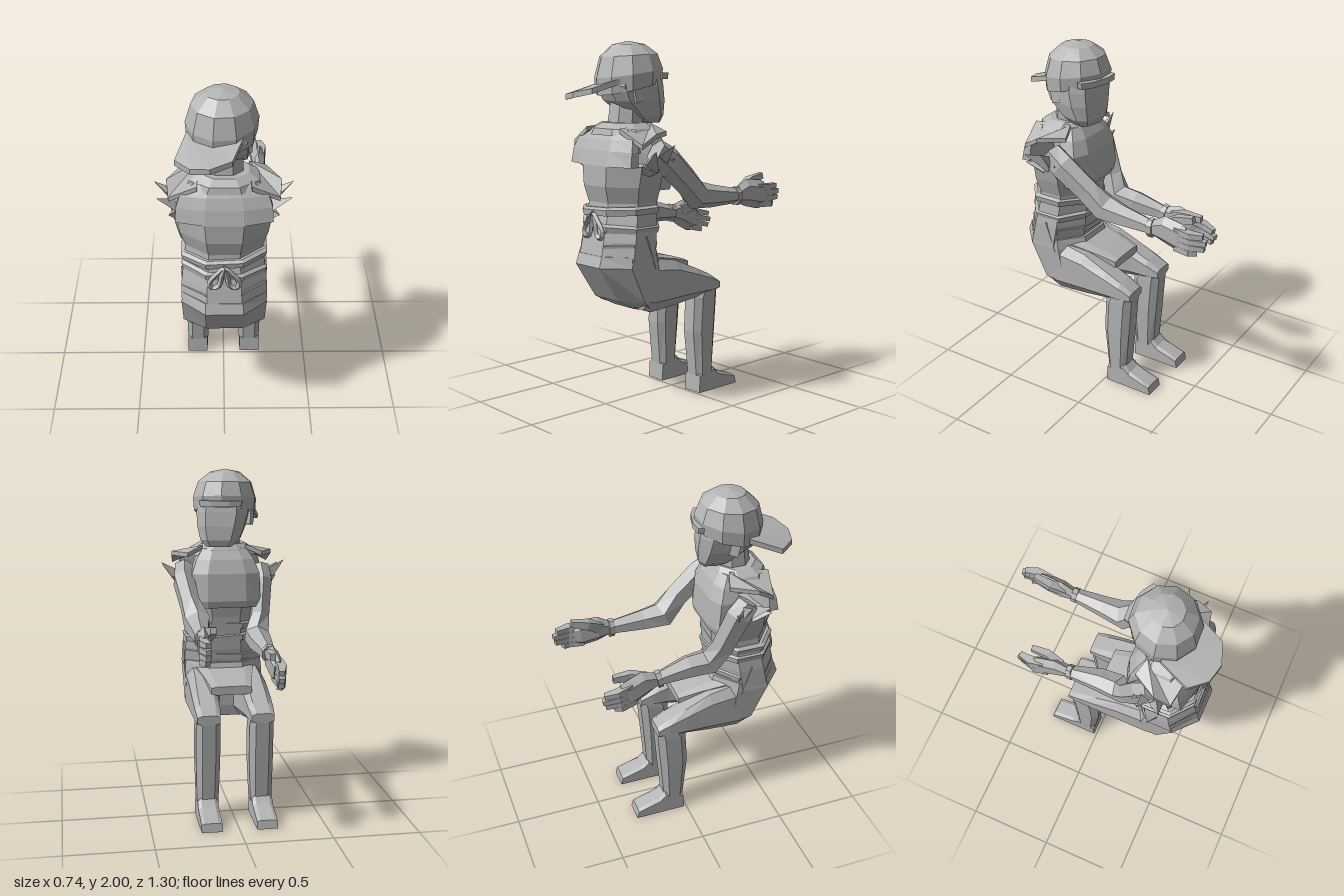
import * as THREE from 'three';

const V = (x, y, z) => new THREE.Vector3(x, y, z);
const grey = new THREE.MeshStandardMaterial({ color: 0xb4b4b4, flatShading: true, side: THREE.DoubleSide });
grey.name = 'plain grey';

function add(parent, name, geometry) {
  const mesh = new THREE.Mesh(geometry, grey);
  mesh.name = name;
  parent.add(mesh);
  return mesh;
}

// Closed solid through rings of points, wound outward
function loft(rings) {
  const n = rings[0].length, pts = rings.flat(), tris = [];
  for (let r = 0; r < rings.length - 1; r++)
    for (let i = 0; i < n; i++) {
      const a = r * n + i, b = r * n + (i + 1) % n;
      tris.push([a, b, b + n], [a, b + n, a + n]);
    }
  const last = (rings.length - 1) * n;
  for (let i = 1; i < n - 1; i++) tris.push([0, i + 1, i], [last, last + i, last + i + 1]);
  const c = V(0, 0, 0);
  pts.forEach(p => c.addScaledVector(p, 1 / pts.length));
  let volume = 0;
  for (const t of tris) {
    const [p, q, s] = t.map(i => pts[i].clone().sub(c));
    volume += p.dot(q.cross(s));
  }
  const g = new THREE.BufferGeometry().setFromPoints(pts);
  g.setIndex(tris.flatMap(t => (volume < 0 ? [t[0], t[2], t[1]] : t)));
  const flat = g.toNonIndexed();
  flat.computeVertexNormals();
  return flat;
}

// Bevelled rectangle between two ranges, as eight 2D corners
function bevel(a0, a1, b0, b1, k = 0.28) {
  const a = (a1 - a0) * k, b = (b1 - b0) * k;
  return [[a0 + a, b0], [a1 - a, b0], [a1, b0 + b], [a1, b1 - b], [a1 - a, b1], [a0 + a, b1], [a0, b1 - b], [a0, b0 + b]];
}
// Rows: [y, x0, x1, z0, z1] and [z, x0, x1, y0, y1]
const stackY = (rows, k) => loft(rows.map(([y, ...r]) => bevel(...r, k).map(([x, z]) => V(x, y, z))));
const stackZ = (rows, k) => loft(rows.map(([z, ...r]) => bevel(...r, k).map(([x, y]) => V(x, y, z))));
// Rows symmetric in x: [position, half width, low, high]
const both = rows => rows.map(([p, w, a, b]) => [p, -w, w, a, b]);

// Limb through stations [x, y, z, half width, half depth]
function limb(st, sides = 6) {
  return loft(st.map(([x, y, z, w, d], i) => {
    const a = st[Math.max(i - 1, 0)], b = st[Math.min(i + 1, st.length - 1)];
    const t = V(b[0] - a[0], b[1] - a[1], b[2] - a[2]).normalize();
    const side = V(1, 0, 0).addScaledVector(t, -t.x).normalize(), up = t.clone().cross(side);
    return Array.from({ length: sides }, (_, j) => {
      const q = (j + 0.5) / sides * Math.PI * 2;
      return V(x, y, z).addScaledVector(side, Math.cos(q) * w).addScaledVector(up, Math.sin(q) * d);
    });
  }));
}

// Three-sided torn point from a base to a tip
function spike(parent, from, to, r) {
  const d = to.clone().sub(from);
  const m = add(parent, 'tornSleevePoint', new THREE.ConeGeometry(r, d.length(), 3));
  m.position.copy(from).addScaledVector(d, 0.5);
  m.quaternion.setFromUnitVectors(V(0, 1, 0), d.normalize());
}

// Hand reaching along -z with the thumb on top; s is the side
function hand(s) {
  const g = new THREE.Group();
  add(g, 'palm', limb([[0, 0, 0, 0.032, 0.045], [0, 0.01, -0.07, 0.04, 0.08], [0.01 * s, -0.01, -0.17, 0.038, 0.085], [0.015 * s, -0.015, -0.2, 0.03, 0.075]]));
  for (let i = 0; i < 4; i++) {
    const y = 0.035 - i * 0.034, l = [0.31, 0.33, 0.32, 0.275][i];
    add(g, 'finger', limb([[0.012 * s, y, -0.15, 0.036, 0.024], [0.025 * s, y - 0.005, -0.24, 0.034, 0.023], [0.008 * s, y - 0.008, -l, 0.022, 0.02]], 4));
  }
  add(g, 'thumb', limb([[-0.01 * s, 0.025, -0.06, 0.035, 0.045], [-0.032 * s, 0.07, -0.14, 0.032, 0.035], [-0.028 * s, 0.092, -0.235, 0.022, 0.025]], 4));
  add(g, 'cuff', limb([[0, 0, 0.025, 0.042, 0.056], [0, 0, -0.005, 0.042, 0.056]], 8));
  return g;
}

function buildHead() {
  const head = new THREE.Group();
  head.name = 'head';
  add(head, 'face', stackY([
    [1.56, -0.05, 0.1, -0.155, -0.05], [1.6, -0.095, 0.13, -0.17, 0.02], [1.68, -0.125, 0.15, -0.172, 0.12],
    [1.76, -0.145, 0.155, -0.165, 0.16], [1.84, -0.135, 0.14, -0.155, 0.135]], 0.2));
  // Domed cap, its rim rising toward the brow
  const dome = new THREE.LatheGeometry([[0.184, 1.75], [0.19, 1.83], [0.16, 1.925], [0.09, 1.982], [0, 2]].map(p => new THREE.Vector2(...p)), 10);
  const p = dome.attributes.position;
  for (let i = 0; i < p.count; i++) p.setY(i, p.getY(i) - p.getZ(i) * 0.9 * (2 - p.getY(i)));
  add(head, 'cap', dome);
  // Bill sloping down and leaning to one side
  const bill = [[-0.165, 0.09], [-0.178, 0.27], [-0.08, 0.338], [0.023, 0.337], [0.12, 0.27], [0.14, 0.1], [0, 0.15]];
  const layer = h => bill.map(([x, z]) => V(x, 1.81 + h - 0.33 * (z - 0.09) + 0.12 * x - 0.6 * (x + 0.03) ** 2, z));
  add(head, 'capBill', loft([layer(0), layer(-0.03)]));
  add(head, 'goggleBand', stackY([[1.795, -0.11, 0.125, -0.2, -0.12], [1.83, -0.115, 0.13, -0.2, -0.12]]));
  for (const s of [-1, 1]) {
    const ear = add(head, 'ear', new THREE.BoxGeometry(0.03, 0.09, 0.05));
    ear.position.set(s * 0.145, 1.72, 0.02);
    ear.rotation.set(0.2, s * 0.3, 0);
  }
  head.position.set(-0.01, 0, 0.31);
  head.rotation.y = -0.25;
  return head;
}

function buildTorso() {
  const torso = new THREE.Group();
  torso.name = 'torso';
  add(torso, 'jacketBody', stackY(both([
    [0.82, 0.235, 0.23, 0.6], [0.94, 0.23, 0.21, 0.575], [1.08, 0.212, 0.2, 0.54], [1.14, 0.208, 0.195, 0.535],
    [1.23, 0.235, 0.18, 0.56], [1.34, 0.255, 0.17, 0.56]]), 0.3));
  // Yoke and bib leave the armholes open between them
  add(torso, 'backYoke', stackY(both([[1.34, 0.255, 0.43, 0.56], [1.42, 0.25, 0.43, 0.54], [1.48, 0.23, 0.42, 0.515], [1.535, 0.16, 0.4, 0.48]]), 0.3));
  add(torso, 'chestBib', stackY(both([[1.2, 0.2, 0.165, 0.3], [1.24, 0.205, 0.155, 0.31], [1.4, 0.2, 0.165, 0.34], [1.48, 0.17, 0.195, 0.35], [1.54, 0.13, 0.235, 0.36]]), 0.22));
  add(torso, 'neck', stackY([[1.4, -0.12, 0.12, 0.24, 0.46], [1.56, -0.1, 0.1, 0.25, 0.43], [1.72, -0.09, 0.1, 0.25, 0.41]]));
  add(torso, 'collar', stackY(both([[1.5, 0.2, 0.22, 0.51], [1.535, 0.18, 0.23, 0.5], [1.565, 0.13, 0.25, 0.46]])));
  // Slanted waist folds
  [[1.09, 0.05], [1.01, -0.06], [0.9, 0.05]].forEach(([y, tilt]) => {
    const fold = add(torso, 'waistFold', stackY(both([[-0.02, 0.222, -0.175, 0.185], [0.012, 0.23, -0.178, 0.19], [0.025, 0.21, -0.165, 0.175]])));
    fold.position.set(0, y, 0.375 + (y < 0.95 ? 0.015 : 0));
    fold.rotation.z = tilt;
  });
  for (const s of [-1, 1]) {
    // Ribbon loop on the back
    const path = [[0, 1.085], [0.035, 1.05], [0.08, 0.985], [0.065, 0.95], [0.03, 0.965], [0.015, 1.03]].map(([x, y]) => V(s * x, y, 0.572));
    add(torso, 'ribbonLoop', new THREE.TubeGeometry(new THREE.CatmullRomCurve3(path, true), 16, 0.014, 4, true));
    // Shoulder flap and torn sleeve
    const flap = h => [V(s * 0.13, 1.56 + h, 0.27), V(s * 0.22, 1.52 + h, 0.24), V(s * 0.3, 1.515 + h, 0.38), V(s * 0.29, 1.46 + h, 0.47), V(s * 0.14, 1.54 + h, 0.5)];
    add(torso, 'shoulderFlap', loft([flap(0), flap(-0.025)]));
    [[0.37, 1.46, 0.31], [0.355, 1.43, 0.43], [0.29, 1.35, 0.47], [0.31, 1.38, 0.26]].forEach(([x, y, z]) =>
      spike(torso, V(s * 0.23, 1.3 + (y - 1.32) * 0.3, 0.34 + (z - 0.36) * 0.4), V(s * x, y, z), 0.055));
    // Loose hem point at the hip
    spike(torso, V(s * 0.18, 0.94, 0.4), V(s * 0.235, 0.78, 0.33), 0.06);
  }
  return torso;
}

export function createModel() {
  const model = new THREE.Group();
  model.add(buildHead(), buildTorso());

  // Seated hips and the jacket front lying over the lap
  add(model, 'hips', stackY(both([
    [0.535, 0.19, 0.2, 0.36], [0.6, 0.228, 0.19, 0.485], [0.8, 0.233, 0.19, 0.615], [0.86, 0.228, 0.21, 0.595]])));
  add(model, 'lapFlap', stackZ(both([[0.3, 0.18, 0.72, 0.855], [0.1, 0.14, 0.72, 0.805], [-0.015, 0.12, 0.72, 0.77]]), 0.15));

  for (const s of [-1, 1]) {
    const leg = new THREE.Group();
    leg.name = s > 0 ? 'leftLeg' : 'rightLeg';
    const X = (a, b) => (s > 0 ? [a, b] : [-b, -a]);
    add(leg, 'thigh', stackZ([
      [0.38, ...X(0.02, 0.228), 0.55, 0.83], [0.33, ...X(0.02, 0.23), 0.53, 0.83], [0.15, ...X(0.05, 0.23), 0.545, 0.8],
      [0, ...X(0.075, 0.23), 0.565, 0.735], [-0.1, ...X(0.08, 0.228), 0.575, 0.69], [-0.175, ...X(0.09, 0.222), 0.59, 0.645]], 0.2));
    add(leg, 'shin', stackY([
      [0.63, ...X(0.09, 0.222), -0.175, -0.04], [0.56, ...X(0.085, 0.225), -0.17, 0], [0.36, ...X(0.085, 0.225), -0.155, 0.01],
      [0.1, ...X(0.095, 0.22), -0.135, -0.015]], 0.22));
    const shoe = [[-0.015, 0], [-0.02, 0.11], [-0.13, 0.14], [-0.17, 0.1], [-0.305, 0.05], [-0.315, 0]];
    add(leg, 'shoe', loft([[0.1, 0.85], [0.12, 1], [0.2, 1], [0.22, 0.85]].map(([x, k]) => shoe.map(([z, y]) => V(s * x, y * k, z)))));
    model.add(leg);
  }

  // Arms reach forward at different heights
  const arms = {
    leftArm: [1, [[0.235, 1.42, 0.33, 0.06, 0.07], [0.245, 1.36, 0.25, 0.065, 0.085], [0.225, 1.24, 0.1, 0.06, 0.08], [0.198, 1.15, 0.0, 0.082, 0.082],
      [0.205, 1.135, -0.12, 0.062, 0.065], [0.212, 1.12, -0.32, 0.038, 0.042]], 0.03],
    rightArm: [-1, [[-0.225, 1.41, 0.35, 0.06, 0.07], [-0.23, 1.34, 0.3, 0.065, 0.085], [-0.205, 1.14, 0.22, 0.06, 0.078], [-0.175, 1.03, 0.15, 0.078, 0.08],
      [-0.173, 1.02, 0.02, 0.07, 0.068], [-0.188, 0.99, -0.17, 0.038, 0.042]], -0.2],
  };
  for (const [name, [s, stations, pitch]] of Object.entries(arms)) {
    const arm = new THREE.Group();
    arm.name = name;
    add(arm, 'sleeve', limb(stations));
    const h = hand(s);
    h.name = 'hand';
    h.position.set(...stations.at(-1).slice(0, 3));
    h.rotation.x = pitch;
    arm.add(h);
    model.add(arm);
  }
  return model;
}
